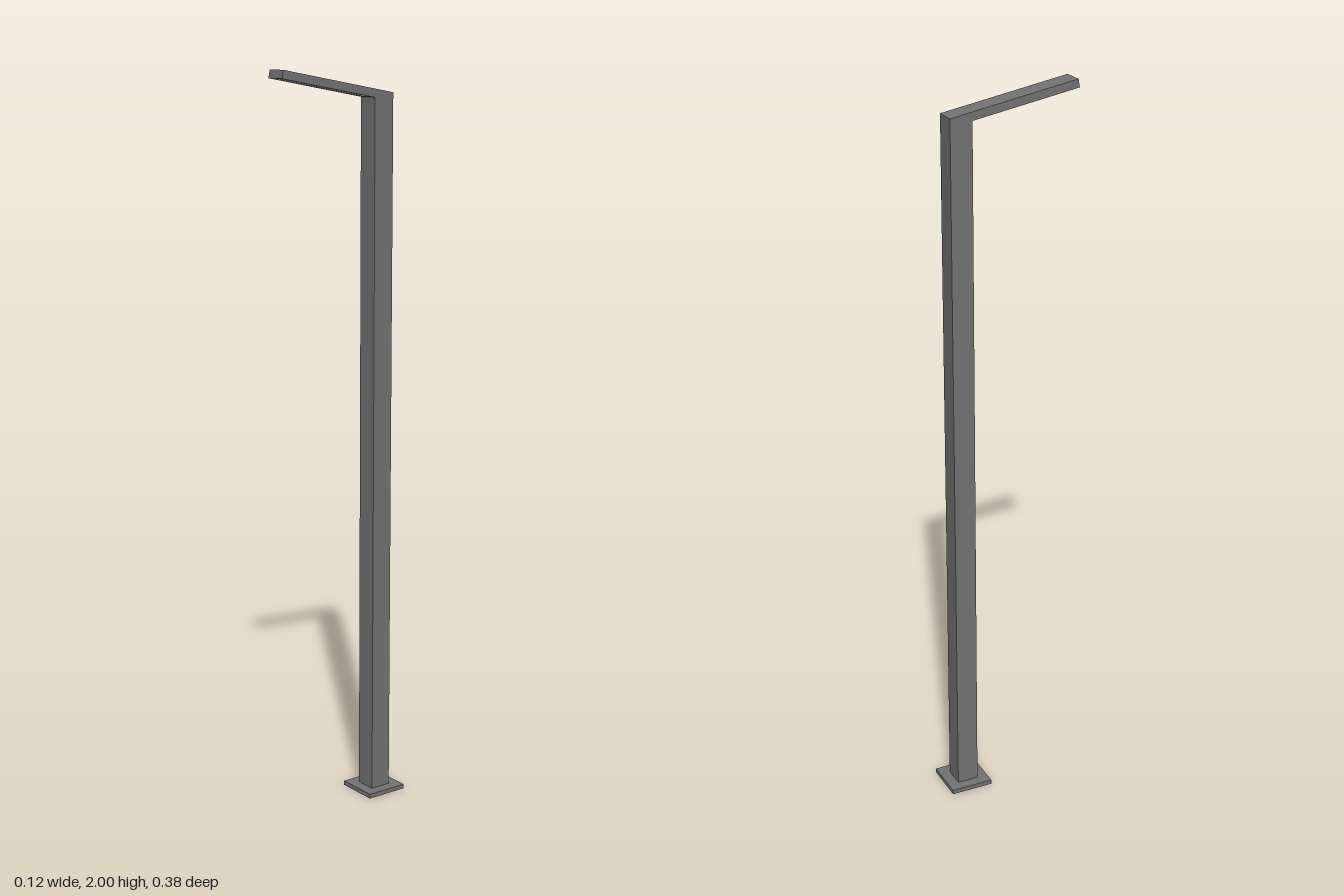
import * as THREE from 'three';

const WIDTH = 0.06;              // pole and arm width
const BACK = -0.162;             // rear face of the pole
const TOP = 1.938;               // rear top edge of the pole
const TILT = THREE.MathUtils.degToRad(10);
const ARM_END = 0.3554, ARM_THICK = 0.022;

function rectangle(PathType, x0, y0, x1, y1) {
  return new PathType([[x0, y0], [x1, y0], [x1, y1], [x0, y1]].map(p => new THREE.Vector2(...p)));
}

export function createModel() {
  const model = new THREE.Group();
  model.name = 'streetLamp';
  const metal = new THREE.MeshStandardMaterial({ color: 0x737373 });
  const lamp = new THREE.MeshStandardMaterial({ color: 0xf4f4f4 });
  const add = (parent, name, geometry, material = metal) => {
    const mesh = new THREE.Mesh(geometry, material);
    mesh.name = name;
    parent.add(mesh);
    return mesh;
  };

  // Square foot plate
  add(model, 'basePlate', new THREE.BoxGeometry(0.12, 0.0125, 0.12))
    .position.set(0, 0.00625, BACK + WIDTH / 2);

  // Square pole, its top face sheared to the slope of the arm
  const pole = new THREE.BoxGeometry(WIDTH, TOP, WIDTH).translate(0, TOP / 2, WIDTH / 2);
  const pos = pole.attributes.position;
  for (let i = 0; i < pos.count; i++) {
    if (pos.getY(i) > 1) pos.setY(i, TOP + pos.getZ(i) * Math.tan(TILT));
  }
  pole.computeVertexNormals();
  add(model, 'pole', pole).position.z = BACK;

  // Tilted arm, hinged at the rear top edge of the pole
  const arm = new THREE.Group();
  arm.name = 'arm';
  arm.position.set(0, TOP, BACK);
  arm.rotation.x = -TILT;
  model.add(arm);

  // Arm housing: a frame around the lamp recess
  const start = 0.0565, wall = 0.004, half = WIDTH / 2;
  const inner = half - wall, recessStart = start + 0.01, recessEnd = ARM_END - wall;
  const outline = rectangle(THREE.Shape, -half, start, half, ARM_END);
  outline.holes.push(rectangle(THREE.Path, -inner, recessStart, inner, recessEnd));
  const housing = new THREE.ExtrudeGeometry(outline, { depth: ARM_THICK, bevelEnabled: false });
  add(arm, 'armHousing', housing.rotateX(Math.PI / 2));

  // Cover and pale lamp panel filling the recess, the panel set slightly back
  const coverThick = 0.01, panelThick = 0.009;
  const length = recessEnd - recessStart, middle = (recessStart + recessEnd) / 2;
  add(arm, 'armCover', new THREE.BoxGeometry(inner * 2, coverThick, length))
    .position.set(0, -coverThick / 2, middle);
  add(arm, 'lampPanel', new THREE.BoxGeometry(inner * 2, panelThick, length), lamp)
    .position.set(0, -coverThick - panelThick / 2, middle);

  return model;
}
